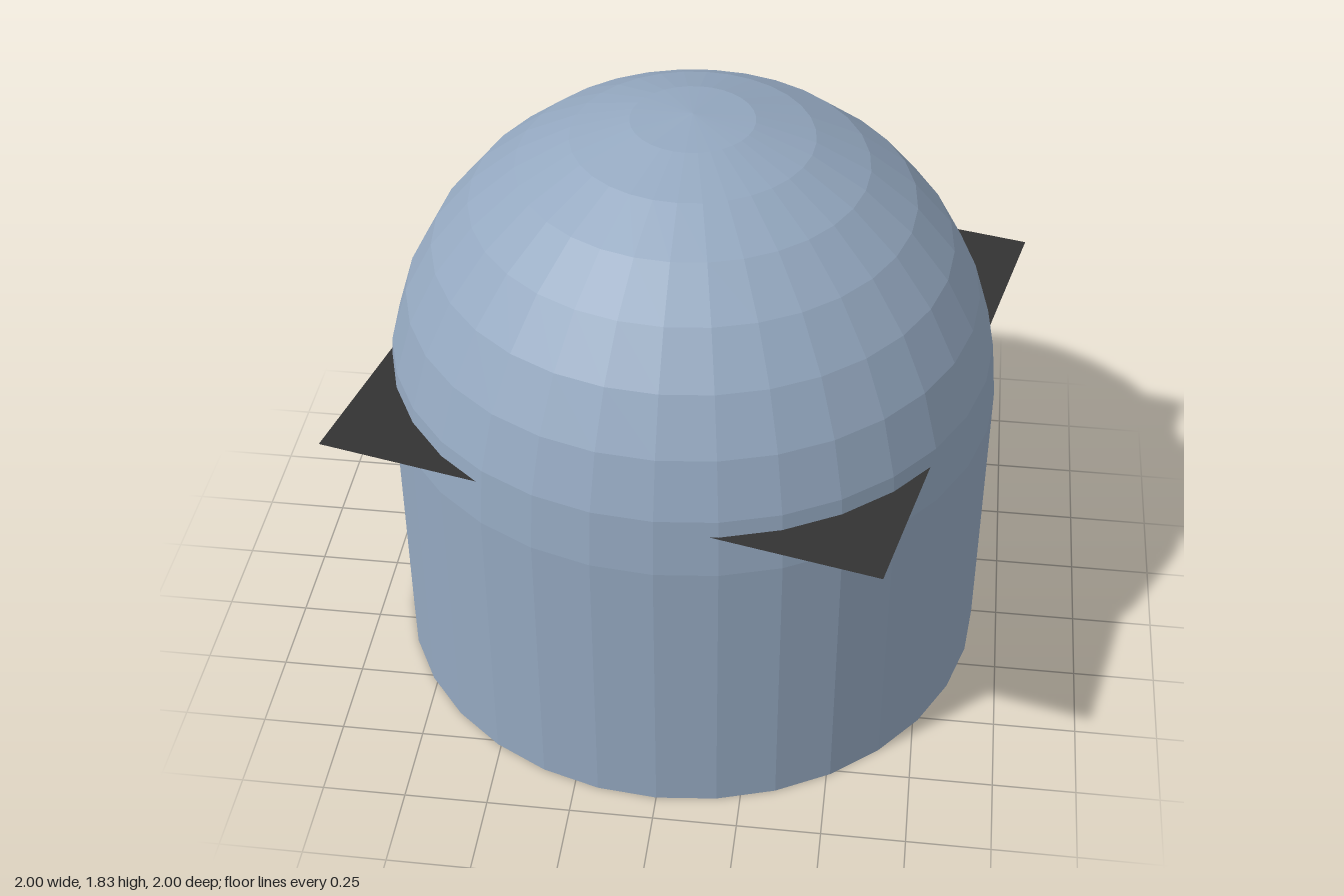
import * as THREE from 'three';

export function createModel() {
  const group = new THREE.Group();
  const shellMaterial = new THREE.MeshStandardMaterial({
    name: 'blue grey', color: 0x94a8c0, flatShading: true, side: THREE.DoubleSide,
  });
  const plateMaterial = new THREE.MeshStandardMaterial({
    name: 'charcoal', color: 0x333333, flatShading: true, side: THREE.DoubleSide,
  });

  const radius = 0.92, wallHeight = 0.91, sides = 32, rings = 8;

  // Open-bottomed round wall
  const wall = new THREE.Mesh(
    new THREE.CylinderGeometry(radius, radius, wallHeight, sides, 1, true), shellMaterial);
  wall.name = 'wall';
  wall.position.y = wallHeight / 2;
  group.add(wall);

  // Faceted hemisphere roof
  const profile = [];
  for (let i = 0; i <= rings; i++) {
    const a = (i / rings) * Math.PI / 2;
    profile.push(new THREE.Vector2(i === rings ? 0 : radius * Math.cos(a), radius * Math.sin(a)));
  }
  const dome = new THREE.Mesh(new THREE.LatheGeometry(profile, sides), shellMaterial);
  dome.name = 'dome';
  dome.position.y = wallHeight;
  group.add(dome);

  // Flat square sheet whose corners pass through the dome
  const sheet = new THREE.Mesh(
    new THREE.PlaneGeometry(1.672, 1.672).rotateX(-Math.PI / 2), plateMaterial);
  sheet.name = 'squareSheet';
  sheet.position.y = 1.04;
  sheet.rotation.y = -0.223;
  group.add(sheet);

  return group;
}
